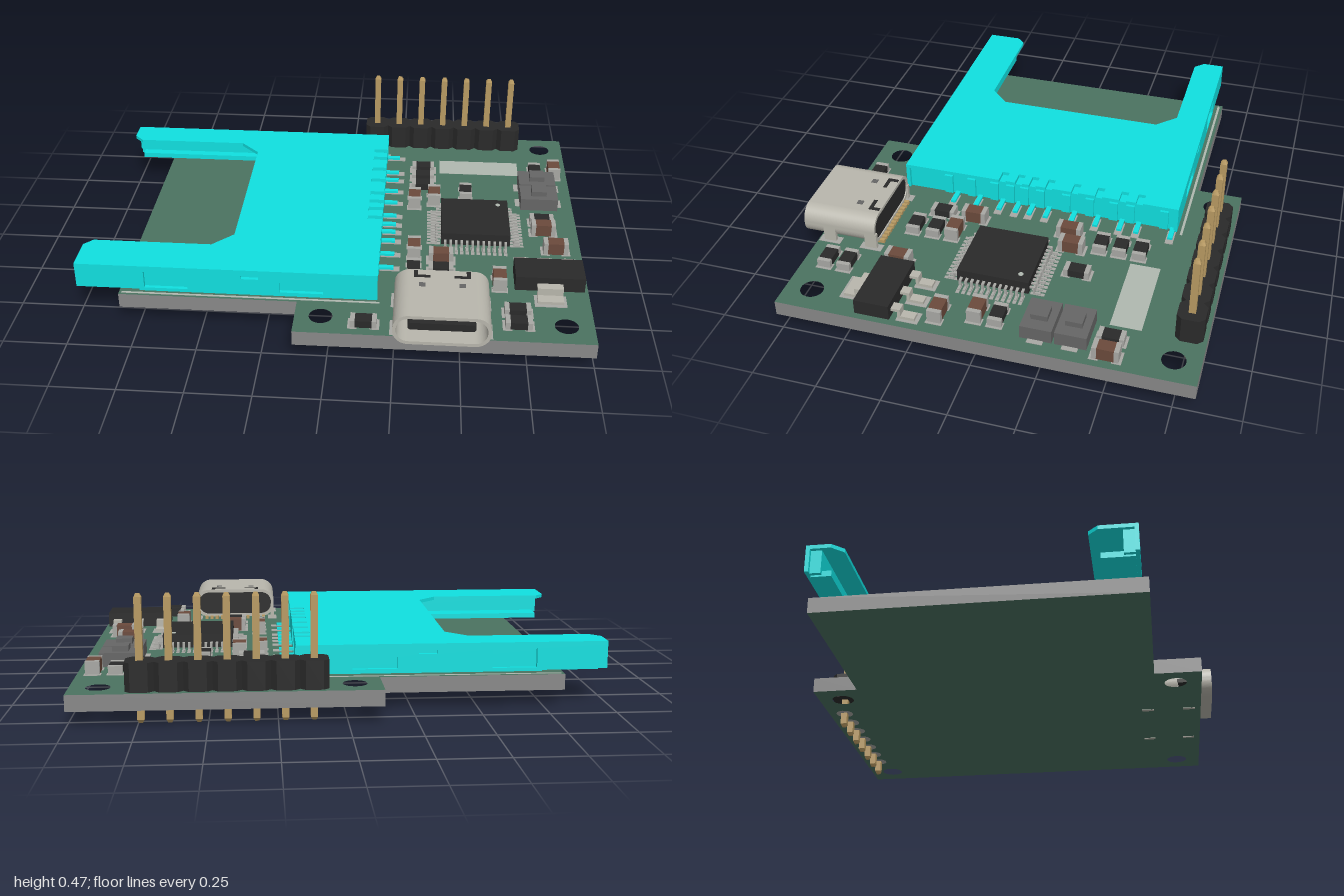
import * as THREE from 'three';

const paint = (color) => new THREE.MeshStandardMaterial({ color });
const M = {
  green: paint(0x4b7260), edge: paint(0x888888), cyan: paint(0x10e0e0), black: paint(0x2a2a2a),
  steel: paint(0xb8b6ac), gold: paint(0xb89a62), solder: paint(0xa8a8a4), brown: paint(0x6b4a3c),
  grey: paint(0x666666), silk: paint(0xb0b8b0),
};
const TOP = 0.123, BOTTOM = 0.062;

// Box given by its limits on each axis
function box(parent, name, x0, x1, y0, y1, z0, z1, mat) {
  const m = new THREE.Mesh(new THREE.BoxGeometry(x1 - x0, y1 - y0, z1 - z0), mat);
  m.position.set((x0 + x1) / 2, (y0 + y1) / 2, (z0 + z1) / 2);
  m.name = name;
  parent.add(m);
  return m;
}

function group(parent, name, x = 0, z = 0, turn = 0) {
  const g = new THREE.Group();
  g.name = name;
  g.position.set(x, 0, z);
  g.rotation.y = turn;
  parent.add(g);
  return g;
}

const outline = (pts) => new THREE.Shape(pts.map(([a, b]) => new THREE.Vector2(a, b)));
const rectHole = (x0, x1, y0, y1) => outline([[x0, y0], [x0, y1], [x1, y1], [x1, y0]]);

// Flat plate from [x, z] points, extruded upwards
function slab(parent, name, pts, y0, y1, mat, holes = []) {
  const s = outline(pts.map(([x, z]) => [x, -z]));
  for (const [x, z, r] of holes) s.holes.push(new THREE.Path().absarc(x, -z, r, 0, Math.PI * 2, true));
  const geo = new THREE.ExtrudeGeometry(s, { depth: y1 - y0, bevelEnabled: false, curveSegments: 16 });
  geo.rotateX(-Math.PI / 2).translate(0, y0, 0);
  const m = new THREE.Mesh(geo, mat);
  m.name = name;
  parent.add(m);
}

// Upright plate from an x/y shape, extruded along z
function wall(parent, name, shape, z0, z1, mat) {
  const geo = new THREE.ExtrudeGeometry(shape, { depth: z1 - z0, bevelEnabled: false, curveSegments: 12 });
  const m = new THREE.Mesh(geo.translate(0, 0, z0), mat);
  m.name = name;
  parent.add(m);
}

function ring(parent, name, x, z, y, inner, outer, mat, down) {
  const m = new THREE.Mesh(new THREE.RingGeometry(inner, outer, 20), mat);
  m.rotation.x = down ? Math.PI / 2 : -Math.PI / 2;
  m.position.set(x, y, z);
  m.name = name;
  parent.add(m);
}

function stadium(x, y, w, h, r) {
  const s = new THREE.Shape(), a = w / 2 - r, b = h / 2 - r;
  s.absarc(x + a, y + b, r, 0, Math.PI / 2);
  s.absarc(x - a, y + b, r, Math.PI / 2, Math.PI);
  s.absarc(x - a, y - b, r, Math.PI, Math.PI * 1.5);
  s.absarc(x + a, y - b, r, Math.PI * 1.5, Math.PI * 2);
  s.closePath();
  return s;
}

function buildBoard(root) {
  const g = group(root, 'circuitBoard');
  const holes = [-0.03, 0.895].flatMap((x) => [-0.73, 0.665].map((z) => [x, z, 0.045]));
  slab(g, 'board', [[-0.83, -0.645], [-0.13, -0.645], [-0.13, -0.83], [1, -0.83], [1, 0.77],
    [-0.13, 0.77], [-0.13, 0.58], [-0.83, 0.58]], BOTTOM, TOP, [M.green, M.edge], holes);
  // Printed outline of the card holder and a blank label patch
  box(g, 'labelPatch', 0.42, 0.78, TOP, TOP + 0.001, -0.59, -0.47, M.silk);
  for (const z of [-0.628, 0.565]) box(g, 'printedLine', -0.82, 0.19, TOP, TOP + 0.001, z - 0.005, z + 0.005, M.silk);
}

function buildCardHolder(root) {
  const g = group(root, 'cardHolder');
  const pinZ = [-0.59, -0.45, -0.38, -0.28, -0.18, -0.07, 0, 0.06, 0.13, 0.23, 0.33];
  // Top plate with the card notch on the left and slots along the contact edge
  const pts = [[-1, 0.555], [-1, 0.415], [-0.965, 0.38], [-0.49, 0.38], [-0.41, 0.3], [-0.41, -0.4],
    [-0.49, -0.48], [-0.96, -0.48], [-1, -0.52], [-1, -0.61], [0.18, -0.61]];
  for (const z of pinZ.slice(1, 9)) pts.push([0.18, z - 0.015], [0.12, z - 0.015], [0.12, z + 0.015], [0.18, z + 0.015]);
  pts.push([0.18, 0.555]);
  slab(g, 'topPlate', pts, 0.225, 0.24, M.cyan);
  // Side walls with windows, each with a bent spring tab set inside
  for (const [z0, z1, inner] of [[0.54, 0.555, 0.53], [-0.61, -0.595, -0.592]]) {
    const s = outline([[-1, 0.135], [-0.75, 0.135], [-0.75, 0.128], [0.18, 0.128], [0.18, 0.226], [-1, 0.226]]);
    s.holes.push(rectHole(-0.73, -0.56, 0.142, 0.215), rectHole(-0.2, -0.03, 0.145, 0.19), rectHole(-0.35, -0.28, 0.2, 0.215));
    wall(g, 'sideWall', s, z0, z1, M.cyan);
    box(g, 'springTab', -0.715, -0.575, 0.15, 0.226, inner, inner + 0.008, M.cyan);
    box(g, 'latchTab', -0.18, -0.03, 0.155, 0.18, inner, inner + 0.008, M.cyan);
  }
  // Inner guide rails and low shelves that carry the card edges
  for (const [a, b, c] of [[0.5, 0.54, 0.42], [-0.595, -0.555, -0.52]]) {
    box(g, 'guideRail', -0.985, 0.15, 0.135, 0.225, a, b, M.cyan);
    box(g, 'cardShelf', -0.97, -0.4, 0.128, 0.15, Math.min(a, c), Math.max(b, c), M.cyan);
  }
  // Contact block and its solder legs
  box(g, 'contactBlock', 0.04, 0.165, 0.126, 0.222, -0.595, 0.54, M.cyan);
  box(g, 'holderFloor', -0.4, 0.06, 0.126, 0.136, -0.595, 0.54, M.cyan);
  for (const z of pinZ) {
    box(g, 'contactPad', 0.18, 0.26, TOP, TOP + 0.003, z - 0.016, z + 0.016, M.solder);
    box(g, 'contactLeg', 0.15, 0.235, TOP + 0.003, 0.136, z - 0.01, z + 0.01, M.cyan);
    box(g, 'contactRib', 0.165, 0.178, 0.13, 0.215, z + 0.02, z + 0.055, M.cyan);
  }
}

function buildHeader(root) {
  const g = group(root, 'pinHeader');
  for (let i = 0; i < 7; i++) {
    const x = 0.12 + 0.1035 * i, h = 0.052, c = 0.02, z = -0.763;
    slab(g, 'headerBlock', [[x - h, z - h + c], [x - h + c, z - h], [x + h - c, z - h], [x + h, z - h + c],
      [x + h, z + h - c], [x + h - c, z + h], [x - h + c, z + h], [x - h, z + h - c]], TOP, 0.23, M.black);
    box(g, 'headerPin', x - 0.013, x + 0.013, 0.012, 0.458, z - 0.013, z + 0.013, M.gold);
    for (const [y, top] of [[0.464, true], [0.006, false]]) {
      const tip = new THREE.Mesh(new THREE.CylinderGeometry(top ? 0.01 : 0.018, top ? 0.018 : 0.01, 0.012, 4).rotateY(Math.PI / 4), M.gold);
      tip.position.set(x, y, z);
      tip.name = 'pinTip';
      g.add(tip);
    }
    ring(g, 'pinPad', x, z, BOTTOM - 0.001, 0.012, 0.036, M.solder, true);
  }
}

function buildUsb(root) {
  const g = group(root, 'usbSocket'), x = 0.425, y = 0.195;
  const shell = stadium(x, y, 0.36, 0.126, 0.058);
  shell.holes.push(stadium(x, y, 0.334, 0.1, 0.046));
  wall(g, 'socketShell', shell, 0.525, 0.825, M.steel);
  wall(g, 'socketBack', stadium(x, y, 0.334, 0.1, 0.046), 0.53, 0.62, M.black);
  wall(g, 'socketTongue', stadium(x, y, 0.25, 0.03, 0.012), 0.61, 0.8, M.black);
  for (const s of [-1, 1]) {
    box(g, 'shellSlot', x + s * 0.075 - 0.03, x + s * 0.075 + 0.03, 0.25, 0.2595, 0.56, 0.575, M.black);
    box(g, 'shellSlot', x + s * 0.1 - 0.008, x + s * 0.1 + 0.008, 0.25, 0.2595, 0.53, 0.575, M.black);
    box(g, 'shellSlot', x + s * 0.075 - 0.012, x + s * 0.075 + 0.012, 0.25, 0.2591, 0.61, 0.635, M.grey);
    for (const z of [0.545, 0.72]) {
      box(g, 'shellLeg', x + s * 0.172 - 0.008, x + s * 0.172 + 0.008, BOTTOM - 0.002, 0.19, z - 0.025, z + 0.025, M.steel);
      box(g, 'legPad', x + s * 0.172 - 0.02, x + s * 0.172 + 0.02, TOP, TOP + 0.002, z - 0.045, z + 0.045, M.solder);
    }
  }
  for (let i = 0; i < 12; i++) {
    const px = x - 0.132 + i * 0.024;
    box(g, 'socketPin', px - 0.007, px + 0.007, TOP, 0.137, 0.505, 0.56, M.gold);
  }
}

function buildProcessor(root) {
  const g = group(root, 'processorChip', 0.567, 0.003);
  box(g, 'chipBody', -0.142, 0.142, 0.133, 0.186, -0.142, 0.142, M.black);
  const dot = new THREE.Mesh(new THREE.CylinderGeometry(0.01, 0.01, 0.002, 16), M.silk);
  dot.position.set(0.1, 0.187, -0.1);
  dot.name = 'cornerDot';
  g.add(dot);
  for (let side = 0; side < 4; side++) {
    const row = group(g, 'leadRow', 0, 0, side * Math.PI / 2);
    for (let i = 0; i < 12; i++) {
      const z = (i - 5.5) * 0.0225;
      box(row, 'leadPad', 0.145, 0.2, TOP, TOP + 0.002, z - 0.007, z + 0.007, M.solder);
      box(row, 'leadShoulder', 0.14, 0.162, 0.15, 0.156, z - 0.005, z + 0.005, M.solder);
      box(row, 'leadDrop', 0.157, 0.163, 0.127, 0.156, z - 0.005, z + 0.005, M.solder);
      box(row, 'leadFoot', 0.157, 0.185, 0.125, 0.131, z - 0.005, z + 0.005, M.solder);
    }
  }
}

function buildRegulator(root) {
  const g = group(root, 'regulator');
  box(g, 'regulatorBody', 0.713, 0.983, 0.132, 0.193, 0.315, 0.452, M.black);
  const leg = (x, w, z, dir, len) => {
    const span = (a, b) => [z + dir * a, z + dir * b].sort((p, q) => p - q);
    box(g, 'regulatorPad', x - w - 0.012, x + w + 0.012, TOP, TOP + 0.002, ...span(0.02, len + 0.015), M.solder);
    box(g, 'regulatorShoulder', x - w, x + w, 0.155, 0.167, ...span(-0.01, 0.035), M.steel);
    box(g, 'regulatorDrop', x - w, x + w, 0.125, 0.167, ...span(0.024, 0.036), M.steel);
    box(g, 'regulatorFoot', x - w, x + w, 0.125, 0.137, ...span(0.024, len), M.steel);
  };
  for (const x of [0.752, 0.847, 0.942]) leg(x, 0.018, 0.315, -1, 0.09);
  leg(0.847, 0.05, 0.452, 1, 0.08);
}

function buildButtons(root) {
  for (const z of [-0.36, -0.23]) {
    const g = group(root, 'pushButton', 0.852, z);
    box(g, 'buttonPad', -0.1, 0.1, TOP, TOP + 0.002, -0.03, 0.03, M.solder);
    box(g, 'buttonBase', -0.08, 0.08, TOP, 0.178, -0.06, 0.06, M.grey);
    box(g, 'buttonCap', -0.032, 0.032, 0.178, 0.2, -0.032, 0.032, M.grey);
  }
}

// Small two-ended parts: [x, z, turned]
function buildChips(root) {
  const resistors = [[0.345, -0.495], [0.345, -0.415], [0.345, -0.335], [0.535, -0.285, 1], [0.855, -0.495, 1],
    [0.855, -0.065], [0.315, 0.34, 1], [0.425, 0.335], [0.425, 0.42], [0.715, 0.595], [0.715, 0.675], [0.135, 0.705]];
  const capacitors = [[0.395, -0.225, 1], [0.31, -0.195, 1], [0.94, -0.495, 1], [0.855, 0.015], [0.895, 0.155],
    [0.315, 0.205, 1], [0.425, 0.255], [0.655, 0.405, 1]];
  for (const [name, list, mat, h] of [['resistor', resistors, M.black, 0.03], ['capacitor', capacitors, M.brown, 0.05]]) {
    for (const [x, z, turned] of list) {
      const g = group(root, name, x, z, turned ? Math.PI / 2 : 0), y = TOP + 0.002;
      box(g, name + 'Body', -0.034, 0.034, y, y + h, -0.026, 0.026, mat);
      for (const s of [-1, 1]) {
        box(g, name + 'Cap', s * 0.041 - 0.009, s * 0.041 + 0.009, y, y + h + 0.001, -0.027, 0.027, M.solder);
        box(g, name + 'Pad', s * 0.042 - 0.018, s * 0.042 + 0.018, TOP, y, -0.032, 0.032, M.solder);
      }
    }
  }
}

export function createModel() {
  const root = new THREE.Group();
  root.name = 'cardReaderBoard';
  for (const build of [buildBoard, buildCardHolder, buildHeader, buildUsb, buildProcessor, buildRegulator,
    buildButtons, buildChips]) build(root);
  return root;
}
